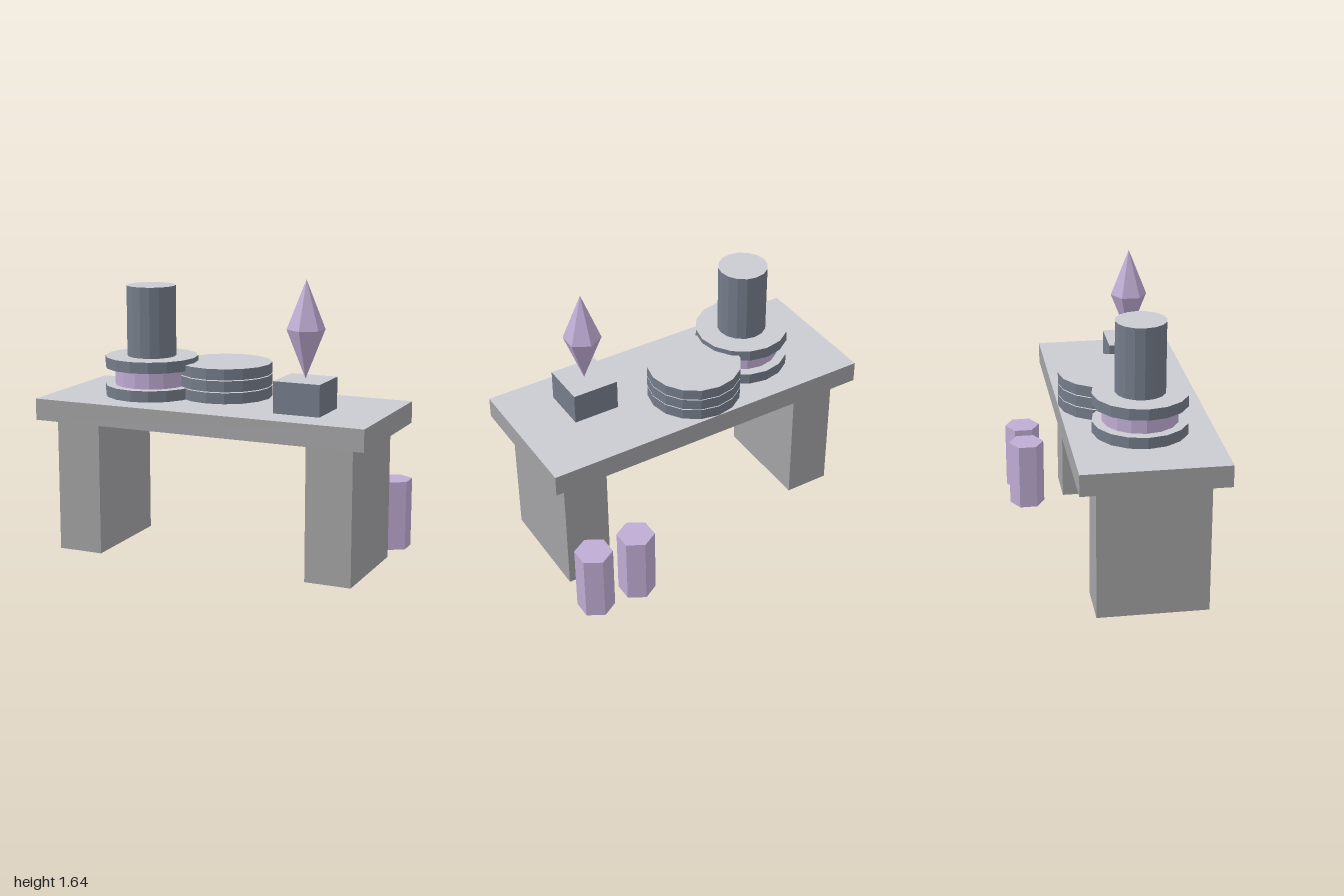
import * as THREE from 'three';

export function createModel() {
  const model = new THREE.Group();
  const mat = (name, color) => {
    const m = new THREE.MeshStandardMaterial({ color });
    m.name = name;
    return m;
  };
  const paleTop = mat('pale top', 0xcbcbd2);
  const stone = mat('grey stone', 0xa3a2a4);
  const slate = mat('slate', 0x757d8a);
  const lilac = mat('lilac crystal', 0xc0acd4);

  // Adds a faceted mesh with hard edges
  const add = (name, geometry, material, x, y, z) => {
    const g = geometry.toNonIndexed();
    g.computeVertexNormals();
    const mesh = new THREE.Mesh(g, material);
    mesh.name = name;
    mesh.position.set(x, y, z);
    model.add(mesh);
    return mesh;
  };

  // Box standing on y0, with its own top colour
  const box = (name, w, h, d, x, y0, z, side, top = side) =>
    add(name, new THREE.BoxGeometry(w, h, d), [side, side, top, side, side, side], x, y0 + h / 2, z);

  // Prism standing between y0 and y1, with its own top colour
  const prism = (name, r, sides, x, y0, y1, z, side, top = side) =>
    add(name, new THREE.CylinderGeometry(r, r, y1 - y0, sides), [side, top, side], x, (y0 + y1) / 2, z);

  // Table
  box('tableTop', 2, 0.125, 0.82, 0, 0.785, 0.12, stone, paleTop);
  box('rightLeg', 0.27, 0.785, 0.63, -0.775, 0, 0.125, stone);
  box('leftLeg', 0.27, 0.785, 0.63, 0.772, 0, 0.125, stone);

  // Column with two discs and a lilac core
  const cx = -0.457, cz = 0.12;
  prism('lowerDisc', 0.271, 16, cx, 0.91, 0.975, cz, slate, paleTop);
  prism('lilacCore', 0.215, 16, cx, 0.975, 1.075, cz, lilac);
  prism('upperDisc', 0.271, 16, cx, 1.075, 1.14, cz, slate, paleTop);
  prism('column', 0.143, 16, cx, 1.14, 1.55, cz, slate, paleTop);

  // Pile of three plates with thin gaps
  for (let i = 0; i < 3; i++) {
    const y = 0.91 + i * 0.0685;
    prism('plate' + (i + 1), 0.271, 16, -0.045, y, y + 0.063, -0.017, slate, paleTop);
  }

  // Pedestal and floating double-pointed crystal
  box('pedestal', 0.273, 0.18, 0.273, 0.543, 0.91, 0.213, slate, paleTop);
  const half = () => new THREE.ConeGeometry(0.108, 0.274, 6, 1, true);
  add('crystalUpper', half(), lilac, 0.543, 1.503, 0.213);
  add('crystalLower', half().rotateX(Math.PI), lilac, 0.543, 1.229, 0.213);

  // Hexagonal stools behind the table
  for (const x of [0.59, 0.86]) prism('stool', 0.108, 6, x, 0, 0.41, -0.423, lilac);

  return model;
}
